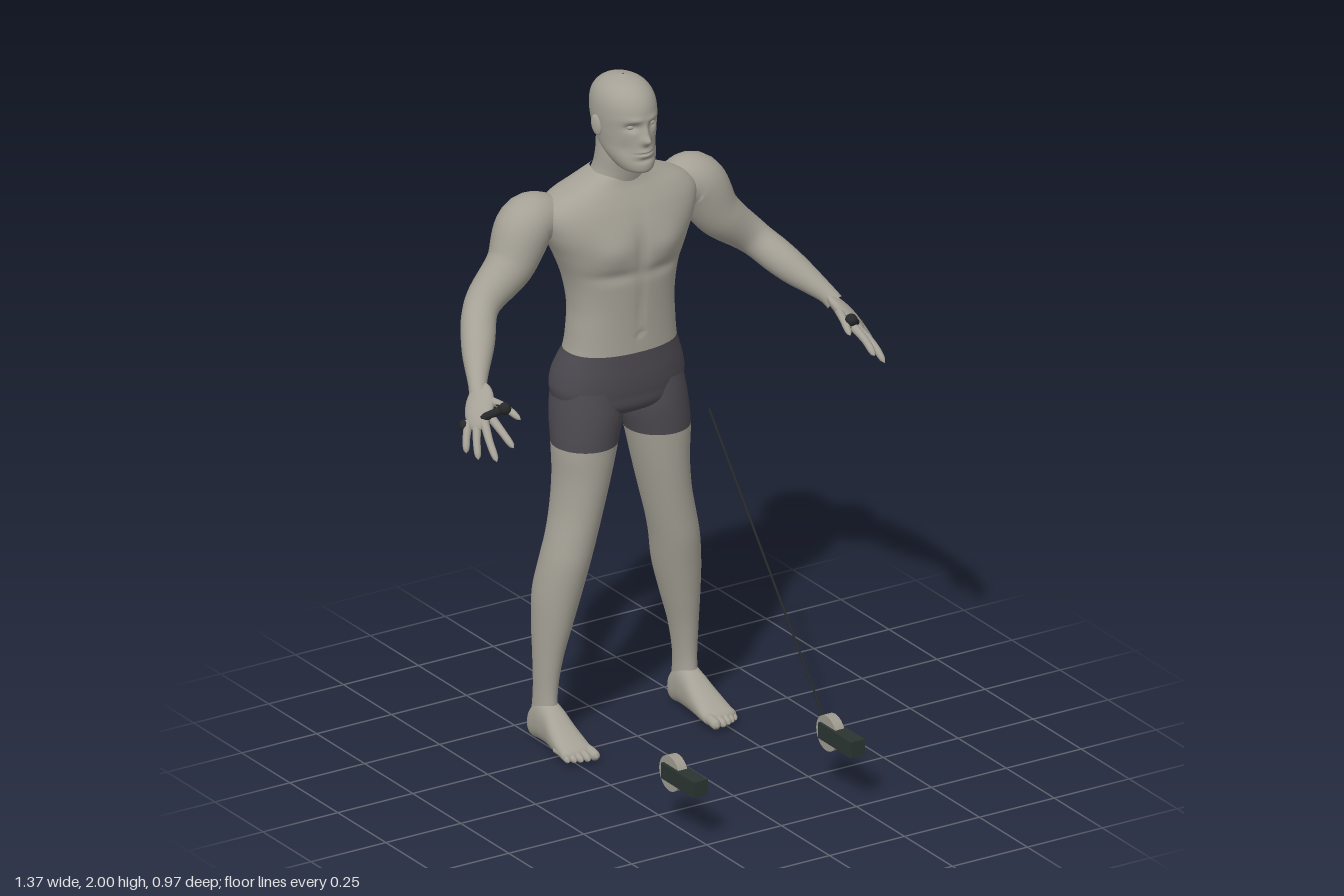
import * as THREE from 'three';
import { mergeVertices } from 'three/addons/utils/BufferGeometryUtils.js';

const mat = (name, color) => {
  const m = new THREE.MeshStandardMaterial({ color });
  m.name = name;
  return m;
};
const V = (p) => new THREE.Vector3(...p);
const bump = (x, cx, sx, y, cy, sy) => Math.exp(-(((x - cx) / sx) ** 2) - ((y - cy) / sy) ** 2);

// Smooth interpolation of keys [s, ...values] at s
function sample(keys, s) {
  const n = keys.length - 1;
  let i = 0;
  while (i < n - 1 && s > keys[i + 1][0]) i++;
  const a = keys[i], b = keys[i + 1], p = keys[Math.max(0, i - 1)], q = keys[Math.min(n, i + 2)];
  const h = b[0] - a[0], t = (s - a[0]) / h;
  return a.slice(1).map((v, k) => {
    const w = b[k + 1];
    const m0 = (w - p[k + 1]) / (b[0] - p[0]) * h, m1 = (q[k + 1] - v) / (q[0] - a[0]) * h;
    return v + t * (m0 + t * (3 * (w - v) - 2 * m0 - m1 + t * (m0 + m1 - 2 * (w - v))));
  });
}

// Skin over upright cross-sections [y, xMin, xMax, zFront, zBack]
function loft(keys, { from = keys[0][0], to = keys[keys.length - 1][0], rows = 40, sides = 48, power = 1, warp } = {}) {
  const pos = [], index = [];
  const pw = (c) => Math.sign(c) * Math.abs(c) ** power;
  for (let i = 0; i <= rows; i++) {
    const y = from + (to - from) * i / rows;
    const [x0, x1, zf, zb] = sample(keys, y);
    for (let j = 0; j < sides; j++) {
      const t = j / sides * Math.PI * 2;
      const v = new THREE.Vector3((x0 + x1) / 2 + (x1 - x0) / 2 * pw(Math.cos(t)), y,
        (zf + zb) / 2 + (zf - zb) / 2 * pw(Math.sin(t)));
      if (warp) warp(v, Math.sin(t));
      pos.push(v.x, v.y, v.z);
      if (i < rows) {
        const a = i * sides + j, b = i * sides + (j + 1) % sides;
        index.push(a, a + sides, b, b, a + sides, b + sides);
      }
    }
  }
  const g = new THREE.BufferGeometry();
  g.setAttribute('position', new THREE.Float32BufferAttribute(pos, 3));
  g.setIndex(index);
  g.computeVertexNormals();
  return g;
}

// Round limb along a path with radius keys [u, r]
function limb(points, radii, segs = 12, sides = 12) {
  const curve = new THREE.CatmullRomCurve3(points.map(V));
  const g = new THREE.TubeGeometry(curve, segs, 1, sides);
  const p = g.attributes.position, v = new THREE.Vector3();
  for (let i = 0; i < p.count; i++) {
    const u = Math.floor(i / (sides + 1)) / segs, c = curve.getPointAt(u);
    v.fromBufferAttribute(p, i).sub(c).multiplyScalar(Math.max(0.0005, sample(radii, u)[0])).add(c);
    p.setXYZ(i, v.x, v.y, v.z);
  }
  g.deleteAttribute('normal');
  g.deleteAttribute('uv');
  const m = mergeVertices(g, 1e-5);
  m.computeVertexNormals();
  return m;
}

// Straight rod between two points
function rod(a, b, r) {
  const d = V(b).sub(V(a));
  const g = new THREE.CylinderGeometry(r, r, d.length(), 10);
  g.applyQuaternion(new THREE.Quaternion().setFromUnitVectors(V([0, 1, 0]), d.clone().normalize()));
  const c = V(a).addScaledVector(d, 0.5);
  return g.translate(c.x, c.y, c.z);
}

function mirrored(geo) {
  const g = geo.clone().scale(-1, 1, 1), ix = g.index.array;
  for (let i = 0; i < ix.length; i += 3) [ix[i], ix[i + 1]] = [ix[i + 1], ix[i]];
  return g;
}

export function createModel() {
  const root = new THREE.Group();
  root.name = 'trainingFigure';
  const skin = mat('skin', 0xa5a196), cloth = mat('shorts', 0x4c4950);
  const dark = mat('darkCasing', 0x2a3431), metal = mat('paleMetal', 0x9d998e), black = mat('blackGrip', 0x262829);
  const add = (name, geo, m) => {
    const mesh = new THREE.Mesh(geo, m);
    mesh.name = name;
    root.add(mesh);
  };
  const pair = (name, geo, m) => {
    add(name + 'Left', geo, m);
    add(name + 'Right', mirrored(geo), m);
  };
  const even = (k) => k.map(([y, w, f, b]) => [y, -w, w, f, b]);

  // Torso and pelvis, with spine groove, chest and gluteal shaping
  const torso = even([
    [0.965, 0.03, -0.31, -0.39], [1.0, 0.17, -0.25, -0.462], [1.05, 0.205, -0.238, -0.48], [1.1, 0.202, -0.234, -0.484],
    [1.15, 0.185, -0.234, -0.468], [1.18, 0.173, -0.234, -0.454], [1.25, 0.165, -0.233, -0.446], [1.32, 0.162, -0.23, -0.45],
    [1.4, 0.174, -0.225, -0.466], [1.48, 0.205, -0.22, -0.477], [1.55, 0.238, -0.226, -0.484], [1.61, 0.25, -0.246, -0.479],
    [1.65, 0.215, -0.265, -0.465], [1.68, 0.145, -0.28, -0.447], [1.71, 0.075, -0.288, -0.428]]);
  const shape = (v, s) => {
    const ax = Math.abs(v.x), y = v.y;
    if (s < 0) {
      v.z += -s * (0.02 * bump(ax, 0, 0.025, y, 1.42, 0.2) + 0.035 * bump(ax, 0, 0.018, y, 1.04, 0.07)
        - 0.006 * bump(ax, 0.09, 0.05, y, 1.53, 0.07));
    } else {
      v.z += s * (0.012 * bump(ax, 0.09, 0.06, y, 1.5, 0.045) - 0.008 * bump(ax, 0, 0.015, y, 1.5, 0.08)
        - 0.008 * bump(ax, 0.09, 0.08, y, 1.425, 0.018) - 0.005 * bump(ax, 0, 0.01, y, 1.32, 0.08)
        - 0.006 * bump(ax, 0, 0.006, y, 1.235, 0.008));
    }
  };
  add('torso', loft(torso, { from: 1.18, rows: 60, sides: 96, power: 0.88, warp: shape }), skin);
  add('shortsHips', loft(torso, { to: 1.18, rows: 26, sides: 96, power: 0.88, warp: shape }), cloth);

  // Legs
  const leg = [
    [0.06, 0.202, 0.265, -0.315, -0.422], [0.15, 0.202, 0.263, -0.322, -0.412], [0.25, 0.187, 0.265, -0.312, -0.418],
    [0.35, 0.16, 0.267, -0.295, -0.432], [0.45, 0.133, 0.265, -0.278, -0.44], [0.55, 0.112, 0.251, -0.262, -0.426],
    [0.62, 0.095, 0.236, -0.257, -0.42], [0.7, 0.075, 0.22, -0.252, -0.425], [0.8, 0.05, 0.212, -0.245, -0.43],
    [0.9, 0.026, 0.216, -0.24, -0.437], [0.99, 0.004, 0.211, -0.24, -0.462], [1.07, 0.015, 0.198, -0.25, -0.465]];
  pair('leg', loft(leg, { to: 0.9, rows: 50 }), skin);
  pair('shortsLeg', loft(leg, { from: 0.9, rows: 14 }), cloth);

  // Feet run along z, so their sections are laid over after lofting
  const foot = [
    [0.17, 0.225, 0.245, 0.022, 0.012], [0.18, 0.192, 0.284, 0.036, 0.002], [0.21, 0.187, 0.288, 0.05, 0],
    [0.27, 0.19, 0.282, 0.085, 0], [0.32, 0.194, 0.273, 0.118, 0], [0.37, 0.198, 0.27, 0.13, 0],
    [0.415, 0.205, 0.263, 0.085, 0], [0.434, 0.228, 0.242, 0.045, 0.03]];
  pair('foot', loft(foot, { power: 0.85, sides: 32 }).rotateX(-Math.PI / 2), skin);
  [[0.202, 0.143, 0.015], [0.226, 0.146, 0.011], [0.246, 0.152, 0.0105], [0.263, 0.16, 0.01], [0.279, 0.17, 0.0095]]
    .forEach(([x, z, r], i) => pair('toe' + (i + 1), limb([[x, 0.024, -z - 0.07], [x, 0.022, -z - 0.03], [x, r, -z]],
      [[0, r], [0.7, r], [0.92, r * 0.8], [1, 0]]), skin));

  // Arms
  pair('arm', limb([[0.19, 1.59, -0.385], [0.275, 1.585, -0.39], [0.345, 1.478, -0.375], [0.45, 1.385, -0.357],
    [0.52, 1.31, -0.27], [0.585, 1.24, -0.17], [0.595, 1.222, -0.15]],
  [[0, 0.06], [0.14, 0.083], [0.34, 0.069], [0.56, 0.051], [0.68, 0.05], [0.78, 0.045], [0.95, 0.027], [1, 0.026]], 48, 28), skin);

  // Hands: flattened palm, four fingers and a thumb
  const across = V([0.045, -0.015, -0.06]).normalize();
  const along = V([0.047, -0.085, 0.095]).addScaledVector(across, 0.03).normalize();
  const basis = new THREE.Matrix4().makeBasis(across, along, across.clone().cross(along)).setPosition(0.611, 1.197, -0.119);
  pair('palm', new THREE.SphereGeometry(1, 24, 16).scale(0.043, 0.075, 0.02).applyMatrix4(basis), skin);
  [[[0.603, 1.175, -0.06], [0.605, 1.155, -0.005], [0.602, 1.128, 0.045]],
    [[0.622, 1.165, -0.075], [0.64, 1.13, -0.02], [0.647, 1.09, 0.028]],
    [[0.636, 1.16, -0.095], [0.658, 1.12, -0.06], [0.671, 1.08, -0.032]],
    [[0.648, 1.162, -0.118], [0.668, 1.125, -0.098], [0.682, 1.086, -0.078]],
    [[0.59, 1.215, -0.13], [0.566, 1.208, -0.06], [0.55, 1.186, 0]]]
    .forEach((pts, i) => pair(i < 4 ? 'finger' + (i + 1) : 'thumb',
      limb(pts, [[0, 0.013], [0.5, 0.011], [0.9, 0.0085], [1, 0]]), skin));

  // Hand grips: bar across the palm with end knobs and thin straps
  const g0 = [0.578, 1.214, -0.038], g1 = [0.657, 1.15, -0.122], tie = [0.588, 1.205, -0.165];
  pair('gripBar', rod(g0, g1, 0.012), black);
  [g0, g1].forEach((p, i) => {
    pair('gripKnob' + i, new THREE.SphereGeometry(0.018, 12, 8).translate(...p), black);
    pair('gripStrap' + i, rod(p, tie, 0.003), black);
  });

  // Neck and head, with facial relief
  const neck = even([[1.63, 0.1, -0.3, -0.45], [1.68, 0.088, -0.284, -0.436], [1.72, 0.075, -0.274, -0.42],
    [1.77, 0.07, -0.262, -0.412], [1.83, 0.066, -0.26, -0.415]]);
  add('neck', loft(neck, { rows: 20 }), skin);
  const head = even([[1.732, 0.012, -0.225, -0.28], [1.74, 0.04, -0.206, -0.32], [1.755, 0.055, -0.2, -0.345],
    [1.785, 0.07, -0.203, -0.385], [1.82, 0.077, -0.206, -0.42], [1.86, 0.083, -0.208, -0.436], [1.9, 0.086, -0.207, -0.442],
    [1.94, 0.082, -0.216, -0.436], [1.97, 0.067, -0.238, -0.414], [1.99, 0.04, -0.272, -0.378], [2.0, 0.003, -0.322, -0.328]]);
  const face = (v, s) => {
    if (s <= 0) return;
    const ax = Math.abs(v.x), y = v.y;
    v.z += 0.022 * bump(ax, 0, 0.013, y, 1.838, 0.014) + 0.012 * bump(ax, 0, 0.009, y, 1.86, 0.02)
      - 0.014 * bump(ax, 0.034, 0.018, y, 1.877, 0.012) + 0.004 * bump(ax, 0.03, 0.025, y, 1.9, 0.009)
      + 0.008 * bump(ax, 0, 0.022, y, 1.798, 0.012) - 0.008 * bump(ax, 0, 0.024, y, 1.798, 0.003)
      - 0.005 * bump(ax, 0, 0.025, y, 1.778, 0.007) - 0.006 * bump(ax, 0.05, 0.015, y, 1.81, 0.025);
  };
  add('head', loft(head, { rows: 110, sides: 96, warp: face }), skin);
  pair('eyelid', new THREE.SphereGeometry(0.013, 16, 10).scale(1.1, 0.7, 1).translate(0.033, 1.876, -0.238), skin);
  pair('ear', new THREE.SphereGeometry(1, 16, 12).scale(0.008, 0.031, 0.018).rotateX(-0.2).rotateY(-0.3)
    .translate(0.087, 1.862, -0.328), skin);

  // Floor pulleys, the left one with its taut cable
  pair('pulleyCasing', new THREE.BoxGeometry(0.047, 0.048, 0.17).translate(0.262, 0.167, 0.404), dark);
  pair('pulleyWheel', new THREE.CylinderGeometry(0.053, 0.053, 0.03, 32).rotateZ(Math.PI / 2).translate(0.262, 0.166, 0.348), metal);
  add('cable', rod([0.262, 0.195, 0.315], [0.262, 0.925, -0.285], 0.0035), black);
  return root;
}
